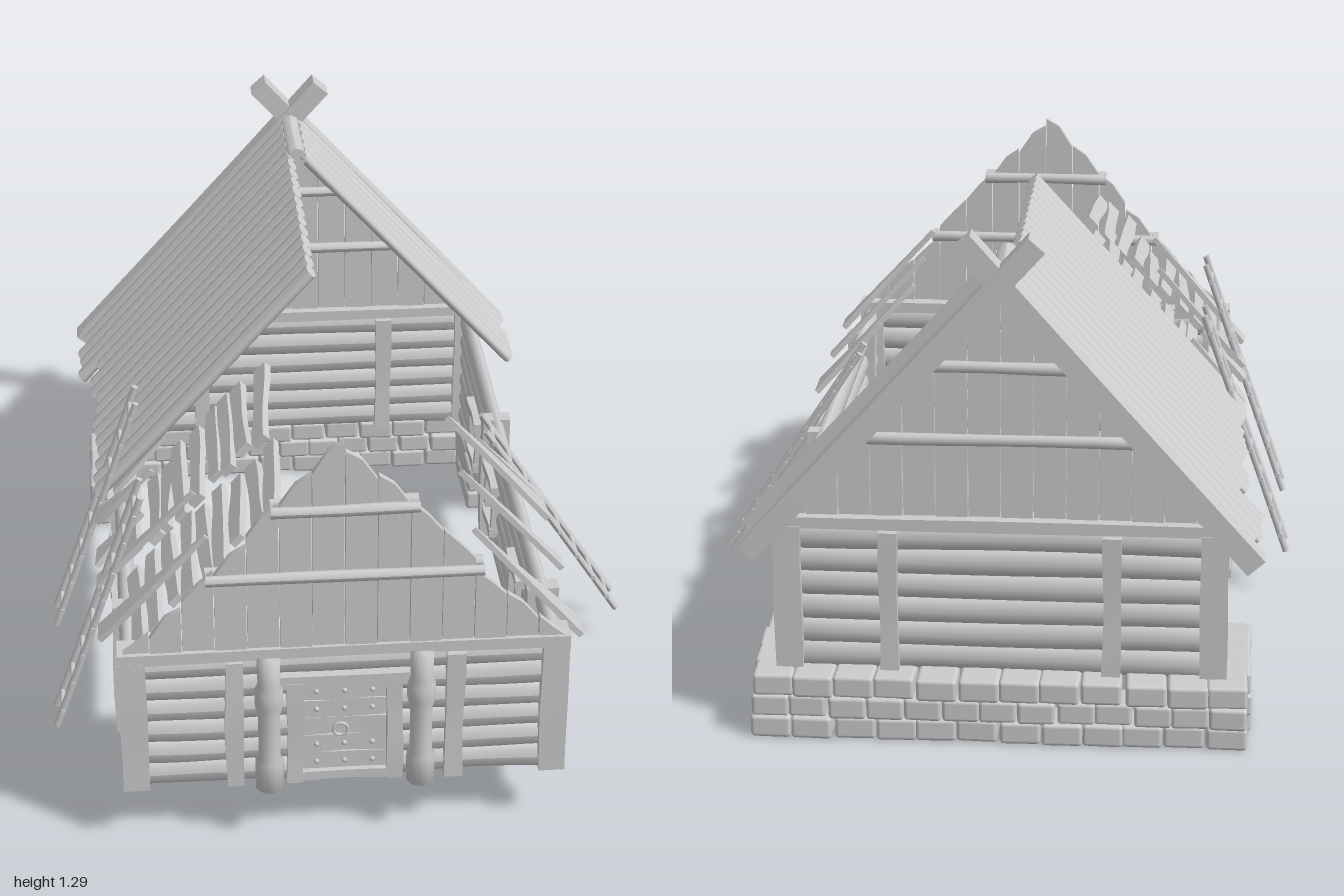
import * as THREE from 'three';
import { RoundedBoxGeometry } from 'three/addons/geometries/RoundedBoxGeometry.js';

const C = -0.055;                 // x of the ridge
const HALF = 0.53;                // ridge to side wall
const FRONT = 0.915, BACK = -0.885;
const BASE = 0.16, TOP = 0.54;    // wall foot and wall head
const V = (x, y, z) => new THREE.Vector3(x, y, z);
const roofY = (x) => 1.16 - 1.1 * Math.abs(x - C);

export function createModel() {
  const model = new THREE.Group();
  const material = new THREE.MeshStandardMaterial({ color: 0xcccccc });
  let seed = 7;
  const rnd = (a = 0, b = 1) => {
    seed = (seed * 16807) % 2147483647;
    return a + (b - a) * (seed / 2147483647);
  };
  const part = (name, parent = model) => {
    const g = new THREE.Group();
    g.name = name;
    parent.add(g);
    return g;
  };
  const add = (parent, name, geometry) => {
    const m = new THREE.Mesh(geometry, material);
    m.name = name;
    parent.add(m);
    return m;
  };

  // Timber from a to b: w wide, t thick along 'out'. Round or sawn, slightly wavy, optionally pointed.
  function timber(parent, name, a, b, w, t, out, { round = false, wave = 0.06, point = 0 } = {}) {
    const len = a.distanceTo(b);
    const geo = round ? new THREE.CylinderGeometry(0.5, 0.5, len, 10, 6) : new THREE.BoxGeometry(1, len, 1, 1, 6, 1);
    const p = geo.attributes.position, phase = rnd(0, 6), lean = rnd(-0.4, 0.4);
    for (let i = 0; i < p.count; i++) {
      const f = p.getY(i) / len + 0.5;
      const swell = (1 + wave * Math.sin(f * 7 + phase)) * (1 - point * f);
      const drift = wave * 0.6 * Math.sin(f * 5 + phase * 2) + point * lean * f;
      p.setX(i, (p.getX(i) * swell + drift) * w);
      p.setZ(i, p.getZ(i) * t * (1 + wave * Math.sin(f * 6 + phase)));
    }
    geo.computeVertexNormals();
    const m = add(parent, name, geo);
    const y = b.clone().sub(a).normalize();
    const z = out.clone().addScaledVector(y, -out.dot(y)).normalize();
    m.matrix.makeBasis(y.clone().cross(z), y, z).setPosition(a.clone().add(b).multiplyScalar(0.5));
    m.matrix.decompose(m.position, m.quaternion, m.scale);
    return m;
  }
  const outX = V(1, 0, 0), outZ = V(0, 0, 1);
  const rows = [0, 1, 2, 3, 4, 5].map((i) => BASE + 0.032 + i * 0.0633);
  const log = { round: true, wave: 0.05 };

  // Side walls: stacked logs cut around three boarded windows
  const windows = [0.4, -0.08, -0.44];
  for (const s of [-1, 1]) {
    const X = C + s * HALF, wall = part(s > 0 ? 'leftWall' : 'rightWall');
    rows.forEach((y, i) => {
      const cuts = i === 2 || i === 3 ? windows.flatMap((z) => [z + 0.055, z - 0.055]) : [];
      const ends = [FRONT, ...cuts, BACK];
      for (let k = 0; k < ends.length; k += 2)
        timber(wall, 'wallLog', V(X, y, ends[k]), V(X, y, ends[k + 1]), 0.07, 0.042, outX, log);
    });
    for (const z of [0.67, -0.21])
      timber(wall, 'wallPost', V(X, BASE, z), V(X, TOP, z), 0.045, 0.08, outX);
    for (const z of windows) {
      const win = part('window', wall);
      for (const d of [-1, 1])
        timber(win, 'windowJamb', V(X, 0.275, z + d * 0.06), V(X, 0.425, z + d * 0.06), 0.024, 0.07, outX);
      timber(win, 'windowHead', V(X, 0.42, z - 0.085), V(X, 0.42, z + 0.085), 0.024, 0.08, outX);
      timber(win, 'windowSill', V(X, 0.28, z - 0.075), V(X, 0.28, z + 0.075), 0.024, 0.08, outX);
      for (const y of [0.32, 0.375])
        timber(win, 'windowBoard', V(X, y, z - 0.055), V(X, y + rnd(-0.015, 0.015), z + 0.055), 0.026, 0.015, outX);
    }
  }

  // End walls: full logs at the back, a doorway at the front
  const endWalls = { backWall: BACK, frontWall: FRONT };
  for (const [name, z] of Object.entries(endWalls)) {
    const wall = part(name);
    rows.forEach((y, i) => {
      const cuts = z === FRONT && i < 5 ? [C - 0.13, C + 0.13] : [];
      const ends = [C - HALF, ...cuts, C + HALF];
      for (let k = 0; k < ends.length; k += 2)
        timber(wall, 'wallLog', V(ends[k], y, z), V(ends[k + 1], y, z), 0.07, 0.042, outZ, log);
    });
    for (const s of [-1, 1]) {
      timber(wall, 'cornerPost', V(C + s * 0.525, BASE, z), V(C + s * 0.525, TOP, z), 0.068, 0.075, outZ, { wave: 0.03 });
      timber(wall, 'wallPost', V(C + s * 0.275, BASE, z), V(C + s * 0.275, TOP - 0.01, z), 0.045, 0.08, outZ);
    }
    timber(wall, 'topBeam', V(C - 0.56, 0.55, z), V(C + 0.56, 0.55, z), 0.03, 0.07, outZ);
  }

  // Gables: upright boards under the roof line; the front one has ragged tops
  for (const [name, z] of [['backGable', BACK], ['frontGable', FRONT + 0.015]]) {
    const gable = part(name), ragged = name === 'frontGable', n = 14, w = 1.12 / n;
    for (let i = 0; i < n; i++) {
      const x = C - 0.56 + (i + 0.5) * w;
      const geo = new THREE.BoxGeometry(w * 0.97, 1, 0.018, 2, 4, 1);
      const p = geo.attributes.position, broken = ragged ? rnd(0, i > 7 ? 0.16 : 0.08) : 0;
      const tilt = ragged ? rnd(-0.5, 0.5) : 0;
      for (let k = 0; k < p.count; k++) {
        const px = p.getX(k) + x;
        const h = Math.max(0.015, (roofY(px) - 0.54) * (1 - broken) - Math.abs(tilt * (px - x)));
        p.setXYZ(k, px, 0.54 + (p.getY(k) + 0.5) * h, p.getZ(k) + z + 0.004 * (i % 2));
      }
      geo.computeVertexNormals();
      add(gable, 'gableBoard', geo);
    }
    for (const [y, half] of [[0.77, 0.34], [0.955, 0.18]])
      for (const d of [-0.02, 0.02])
        timber(gable, 'gableBeam', V(C - half, y, z + d), V(C + half, y, z + d), 0.03, 0.025, outZ, { round: true });
  }

  // Door with planks, studs, ring, frame and two turned porch columns
  const door = part('door');
  for (let i = 0; i < 5; i++) {
    const y = 0.21 + i * 0.053;
    timber(door, 'doorPlank', V(C - 0.105, y, FRONT), V(C + 0.105, y, FRONT), 0.051, 0.03, outZ, { wave: 0.05 });
    for (const x of [-0.07, 0, 0.07])
      if (i !== 2) add(door, 'doorStud', new THREE.SphereGeometry(0.007, 8, 6)).position.set(C + x, y, FRONT + 0.016);
  }
  add(door, 'doorRing', new THREE.TorusGeometry(0.018, 0.004, 8, 20)).position.set(C - 0.01, 0.31, FRONT + 0.022);
  for (const s of [-1, 1]) {
    timber(door, 'doorJamb', V(C + s * 0.125, BASE, FRONT), V(C + s * 0.125, 0.46, FRONT), 0.04, 0.07, outZ);
    const profile = [[0, 0], [0.036, 0], [0.036, 0.08], [0.028, 0.09], [0.028, 0.22], [0.036, 0.25],
      [0.036, 0.29], [0.028, 0.31], [0.03, 0.38], [0, 0.38]].map((q) => new THREE.Vector2(...q));
    add(door, 'porchColumn', new THREE.LatheGeometry(profile, 14)).position.set(C + s * 0.19, BASE, FRONT + 0.04);
  }
  timber(door, 'doorLintel', V(C - 0.17, 0.462, FRONT), V(C + 0.17, 0.462, FRONT), 0.035, 0.07, outZ);
  timber(door, 'doorSill', V(C - 0.13, 0.175, FRONT), V(C + 0.13, 0.175, FRONT), 0.025, 0.06, outZ);

  // Point on the roof slope: side s, distance d from the ridge line, lifted by h
  const slope = (s, d, z, h = 0) => V(C + s * d, 1.16 - 1.1 * d + h, z);
  const roofNormal = (s) => V(s * 1.1, 1, 0);

  // Roof planking: long on the right, only the back bay on the left
  for (const [s, from] of [[-1, 0.12], [1, -0.64]]) {
    const roof = part(s > 0 ? 'leftRoof' : 'rightRoof');
    const n = Math.round((from + 0.93) / 0.0635), w = (from + 0.93) / n;
    for (let i = 0; i < n; i++) {
      const z = from - (i + 0.5) * w, bay = z < -0.64;
      timber(roof, 'roofPlank', slope(s, 0.015, z, 0.025), slope(s, (bay ? 0.62 : 0.585) + rnd(-0.015, 0.015), z, 0.02),
        w * 1.06, 0.034, roofNormal(s), { round: true, wave: 0.04 });
    }
    timber(roof, 'bargeBoard', slope(s, 0.625, -0.92, 0), slope(s, -0.09, -0.92 - 0.006 * s, 0.015), 0.06, 0.055, roofNormal(s), { wave: 0.03 });
  }
  timber(model, 'ridgeBeam', V(C, 1.165, -0.64), V(C, 1.165, -0.94), 0.055, 0.055, V(0, 1, 0), log);

  // Broken inner boards below the long slope, and splintered rafters at both eaves
  const shards = part('brokenBoards');
  for (let i = 0; i < 11; i++) {
    const z = 0.08 - i * 0.067;
    timber(shards, 'innerShard', slope(-1, 0.55, z, -0.02), slope(-1, rnd(0.33, 0.46), z, -0.02), 0.065, 0.012, roofNormal(-1), { point: 0.95 });
  }
  for (const [s, z, w, d] of [[1, 0.83, 0.08, 0.33], [1, 0.53, 0.05, 0.33], [1, 0.26, 0.08, 0.33], [1, 0.2, 0.04, 0.42],
    [-1, 0.76, 0.07, 0.33], [-1, 0.52, 0.05, 0.35], [-1, 0.4, 0.07, 0.48], [-1, 0.2, 0.06, 0.45]])
    timber(shards, 'eaveShard', slope(s, 0.6, z, 0.01), slope(s, d, z + 0.02, 0.01), w, 0.015, roofNormal(s), { point: 0.9 });

  // Two loose, sagging panels of battens
  for (const [z0, z1] of [[0.5, 0.14], [0.89, 0.54]]) {
    const panel = part('loosePanel');
    for (let i = 0; i < 9; i++) {
      const f = i / 8, x = -0.22 - 0.33 * f, y = 0.91 - 0.34 * f;
      timber(panel, 'looseBatten', V(x + rnd(-0.012, 0.012), y + rnd(-0.02, 0.02), z0 - rnd(0, 0.02)),
        V(x + rnd(-0.015, 0.015), y + rnd(-0.02, 0.02), z1 + rnd(0, 0.03)), 0.04, 0.02, roofNormal(-1), { wave: 0.1 });
    }
  }

  // Ladders leaning on the eaves
  const ladderRuns = [[V(0.78, 0.1, 0.08), V(0.4, 0.68, 0.07)], [V(-0.78, 0.13, 0.08), V(-0.54, 0.81, 0.07)], [V(-0.78, 0.13, 0.56), V(-0.54, 0.81, 0.56)]];
  for (const [foot, head] of ladderRuns) {
    const ladder = part('ladder'), at = (f, d) => foot.clone().lerp(head, f).add(V(0, 0, d));
    for (const d of [-0.047, 0.047]) timber(ladder, 'ladderRail', at(0, d), at(1, d), 0.018, 0.018, outZ, log);
    for (let i = 0; i < 8; i++) {
      const f = 0.07 + i * 0.123;
      timber(ladder, 'ladderRung', at(f, -0.06), at(f + rnd(-0.01, 0.01), 0.06), 0.013, 0.013, outX, log);
    }
  }

  // Stone footing: three courses along the back with short stepped returns
  const footing = part('footing');
  const stone = (x, y, z, w, d) => {
    const m = add(footing, 'stone', new RoundedBoxGeometry(w, 0.058, d, 2, 0.01));
    m.position.set(x + rnd(-0.004, 0.004), y, z + rnd(-0.006, 0.006));
    m.rotation.y = rnd(-0.04, 0.04);
  };
  for (let r = 0; r < 3; r++) {
    const y = 0.029 + r * 0.054, n = 12 + (r % 2), w = 1.23 / n;
    for (let i = 0; i < n; i++) stone(C - 0.615 + (i + 0.5) * w, y, -0.925, w * 0.98, rnd(0.1, 0.115));
    for (const s of [-1, 1])
      for (let i = 0; i < 3; i++) stone(C + s * 0.565, y, -0.825 - (r % 2) * 0.02 + i * (0.085 + r * 0.01), 0.115, 0.092 + r * 0.008);
  }
  return model;
}
